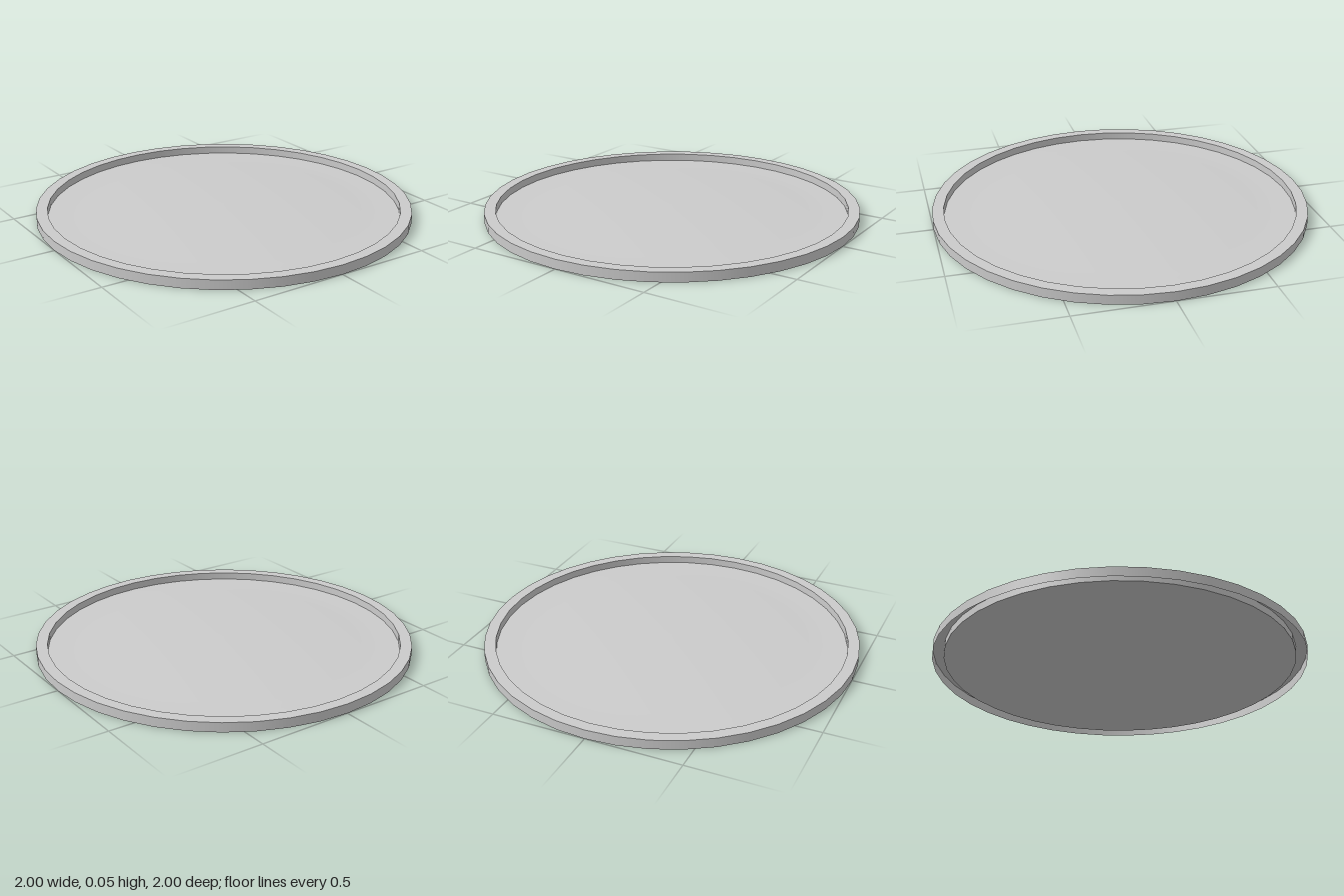
import * as THREE from 'three';

const SIDES = 40;
const FLOOR_Y = 0.01, INNER_R = 0.94, TOP_Y = 0.05;
const DOME_R = 0.82, DOME_RISE = 0.025;

export function createModel() {
  const tray = new THREE.Group();
  tray.name = 'roundTray';
  const material = new THREE.MeshStandardMaterial({ color: 0xcccccc, side: THREE.DoubleSide });

  // Each band is its own lathe so the edges between bands stay sharp
  const addBand = (name, profile) => {
    const points = profile.map(([r, y]) => new THREE.Vector2(r, y));
    const mesh = new THREE.Mesh(new THREE.LatheGeometry(points, SIDES), material);
    mesh.name = name;
    tray.add(mesh);
  };

  // Hollow rim, open underneath
  addBand('outerWall', [[1, 0], [1, TOP_Y]]);
  addBand('rimTop', [[1, TOP_Y], [INNER_R, TOP_Y]]);
  addBand('innerWall', [[INNER_R, TOP_Y], [INNER_R, FLOOR_Y]]);

  // Floor: flat border blending into a shallow dome
  const floor = [[INNER_R, FLOOR_Y], [DOME_R, FLOOR_Y]];
  const steps = 10;
  for (let i = 1; i <= steps; i++) {
    const t = 1 - i / steps;
    floor.push([DOME_R * t, FLOOR_Y + DOME_RISE * (1 - t * t)]);
  }
  addBand('floor', floor);

  return tray;
}
